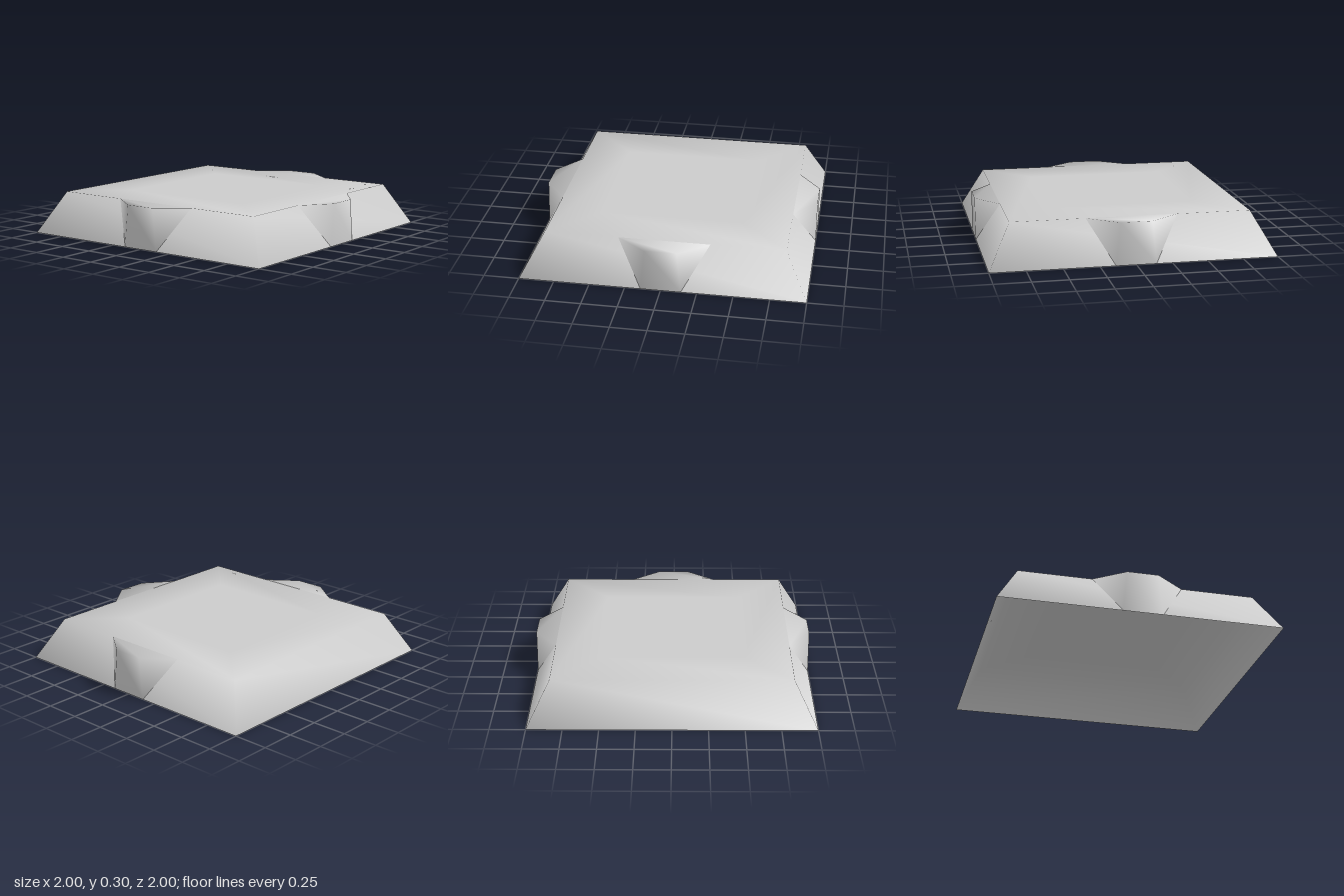
import * as THREE from 'three';
import { mergeVertices } from 'three/addons/utils/BufferGeometryUtils.js';

const H = 0.3; // height of the slab

// Weld shared corners, then smooth the shading across them
function smooth(geometry) {
  geometry.deleteAttribute('uv');
  geometry.deleteAttribute('normal');
  const g = mergeVertices(geometry, 1e-4);
  g.computeVertexNormals();
  return g;
}

// Square hollow slab with sloping walls, open underneath
function slabGeometry() {
  const profile = [[1, 0], [0.84, H], [0.5, H], [0, H]]
    .map(([r, y]) => new THREE.Vector2(r * Math.SQRT2, y));
  return smooth(new THREE.LatheGeometry(profile, 4, Math.PI / 4));
}

// Wedge filling the slope out to a narrow upright face
function spurGeometry() {
  const g = new THREE.BufferGeometry();
  g.setAttribute('position', new THREE.Float32BufferAttribute([
    -0.32, H, 0.84, 0.32, H, 0.84, // rear of the top
    0.11, H, 1, -0.11, H, 1, // front of the top
    -0.14, 0, 1, 0.14, 0, 1, // foot
  ], 3));
  g.setIndex([0, 3, 2, 0, 2, 1, 3, 4, 5, 3, 5, 2, 0, 4, 3, 1, 2, 5]);
  g.computeVertexNormals();
  return g;
}

export function createModel() {
  const group = new THREE.Group();
  group.name = 'slopedPlatform';
  const grey = new THREE.MeshStandardMaterial({ color: 0xcccccc, side: THREE.DoubleSide });
  grey.name = 'light grey';

  const slab = new THREE.Mesh(slabGeometry(), grey);
  slab.name = 'slab';
  group.add(slab);

  // Spurs on the front and both sides; the back stays plain
  const spur = spurGeometry();
  [['frontSpur', 0], ['leftSpur', Math.PI / 2], ['rightSpur', -Math.PI / 2]].forEach(([name, turn]) => {
    const mesh = new THREE.Mesh(spur, grey);
    mesh.name = name;
    mesh.rotation.y = turn;
    group.add(mesh);
  });
  return group;
}
